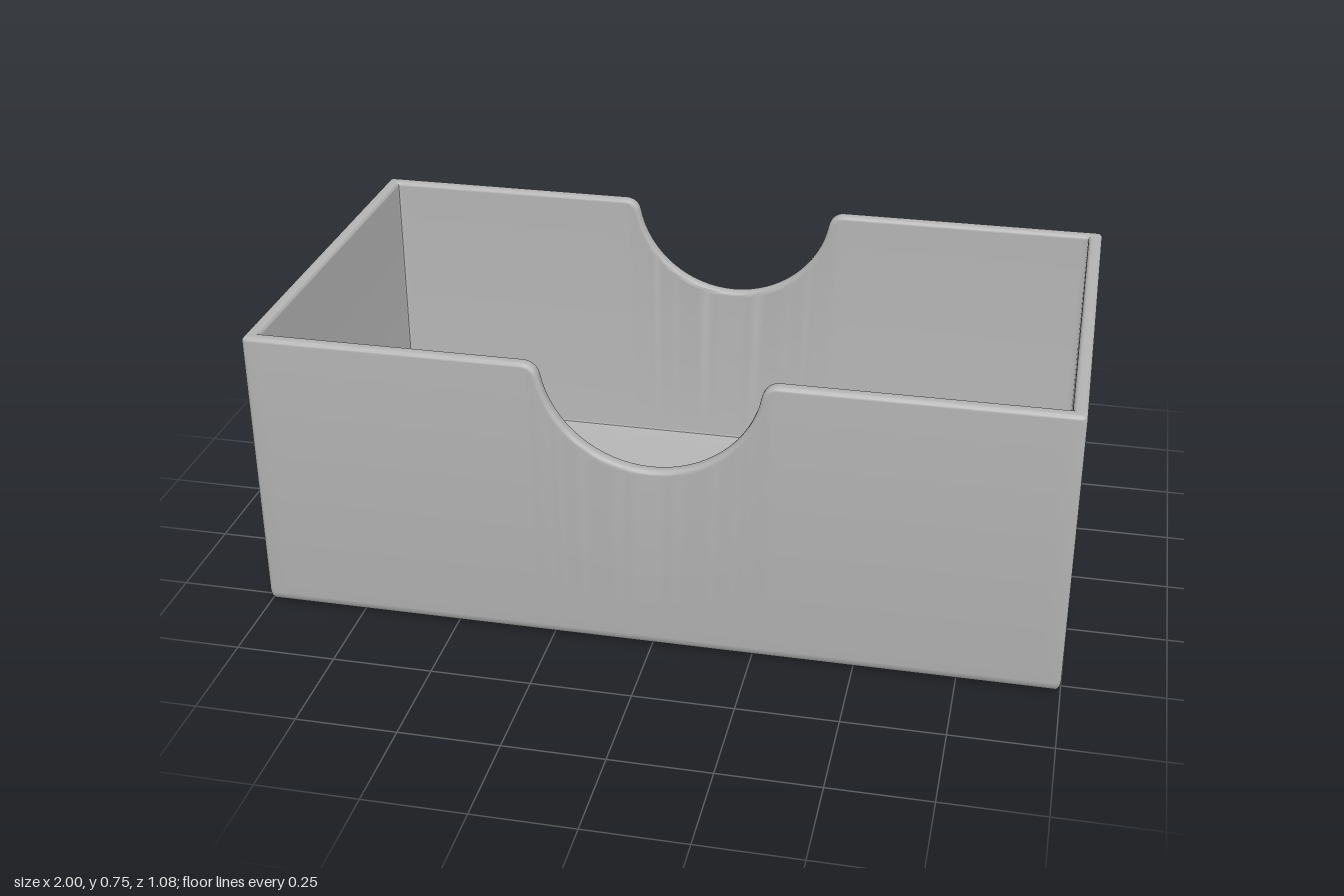
import * as THREE from 'three';
import { toCreasedNormals } from 'three/addons/utils/BufferGeometryUtils.js';

const HALF_X = 1, HALF_Z = 0.54, HEIGHT = 0.75;
const WALL = 0.035, FLOOR = 0.035;
const CORNER = 0.012, BASE = 0.032, RIM = 0.011;
const NOTCH = { y: 0.767, r: 0.27, fillet: 0.04 };

// Rim points with upward normals across one notch, from -x to +x
function notchRim() {
  const { y, r, fillet: f } = NOTCH;
  const fy = HEIGHT - f;
  const fx = Math.sqrt((r + f) ** 2 - (y - fy) ** 2);
  const end = Math.atan2(fy - y, fx);
  const half = [];
  for (let i = 0; i <= 16; i++) {
    const a = -Math.PI / 2 + (end + Math.PI / 2) * (i / 16);
    half.push({ u: r * Math.cos(a), y: y + r * Math.sin(a), nu: -Math.cos(a), ny: -Math.sin(a) });
  }
  for (let i = 1; i <= 6; i++) {
    const a = THREE.MathUtils.lerp(end + Math.PI, Math.PI / 2, i / 6);
    half.push({ u: fx + f * Math.cos(a), y: fy + f * Math.sin(a), nu: Math.cos(a), ny: Math.sin(a) });
  }
  half.push({ u: fx + 0.01, y: HEIGHT, nu: 0, ny: 1 });
  const mirrored = half.slice(1).reverse().map(p => ({ ...p, u: -p.u, nu: -p.nu }));
  return [...mirrored, ...half];
}

// Stations round the box: each side's points, then its rounded corner
function makeStations() {
  const stations = [];
  for (let side = 0; side < 4; side++) {
    const U = side % 2 ? HALF_Z : HALF_X;
    const W = side % 2 ? HALF_X : HALF_Z;
    const flat = u => ({ u, y: HEIGHT, nu: 0, ny: 1 });
    const middle = side % 2 ? [] : notchRim();
    for (const p of [flat(0.05 - U), ...middle, flat(U - 0.05)]) stations.push({ ...p, side, U, W });
    for (let i = 0; i <= 4; i++) {
      stations.push({ ...flat(0), side, U, W, phi: (i / 4) * Math.PI / 2 });
    }
  }
  return stations;
}

// Wall section: k = inset from the outside, y = fixed height or d = depth below the rim
function makeProfile() {
  const p = [{ k: BASE + 0.006, y: 0 }];
  const arc = [0, 1, 2, 3, 4].map(i => i * Math.PI / 8);
  for (const a of arc) p.push({ k: BASE * (1 - Math.sin(a)), y: BASE * (1 - Math.cos(a)) });
  p.push({ k: 0, y: BASE + 0.005 }, { k: 0, d: RIM + 0.004 });
  for (const a of arc) p.push({ k: RIM * (1 - Math.cos(a)), d: RIM * (1 - Math.sin(a)) });
  for (const a of [...arc].reverse()) p.push({ k: WALL - RIM * (1 - Math.cos(a)), d: RIM * (1 - Math.sin(a)) });
  p.push({ k: WALL, d: RIM + 0.004 }, { k: WALL, y: FLOOR + 0.014 }, { k: WALL, y: FLOOR + 0.01 });
  p.push({ k: WALL + 0.003, y: FLOOR + 0.003 }, { k: WALL + 0.01, y: FLOOR }, { k: WALL + 0.014, y: FLOOR });
  return p;
}

function place(s, { k, y, d }) {
  let u = s.u, w = s.W - k, h = y;
  if (s.phi !== undefined) {
    const r = Math.max(CORNER - k, 0.001);
    u = s.U - k - r + r * Math.sin(s.phi);
    w = s.W - k - r + r * Math.cos(s.phi);
  }
  if (d !== undefined) {
    u -= s.nu * d;
    h = s.y - s.ny * d;
  }
  const c = [1, 0, -1, 0][s.side], n = [0, 1, 0, -1][s.side];
  return [u * c + w * n, h, -u * n + w * c];
}

function trayGeometry() {
  const stations = makeStations(), profile = makeProfile();
  const count = stations.length, last = (profile.length - 1) * count;
  const positions = [], index = [];
  for (const p of profile) for (const s of stations) positions.push(...place(s, p));
  const bottom = positions.length / 3;
  positions.push(0, 0, 0, 0, FLOOR, 0);

  for (let i = 0; i < count; i++) {
    const n = (i + 1) % count;
    for (let j = 0; j < profile.length - 1; j++) {
      const a = j * count + i, b = j * count + n;
      index.push(a, b, b + count, a, b + count, a + count);
    }
    // underside and inner floor
    index.push(bottom, n, i, bottom + 1, last + i, last + n);
  }
  const geometry = new THREE.BufferGeometry();
  geometry.setAttribute('position', new THREE.Float32BufferAttribute(positions, 3));
  geometry.setIndex(index);
  return toCreasedNormals(geometry, 0.6);
}

export function createModel() {
  const grey = new THREE.MeshStandardMaterial({ color: 0xb4b4b4 });
  grey.name = 'grey';
  const tray = new THREE.Mesh(trayGeometry(), grey);
  tray.name = 'notchedTray';
  const model = new THREE.Group();
  model.name = 'openBox';
  model.add(tray);
  return model;
}
